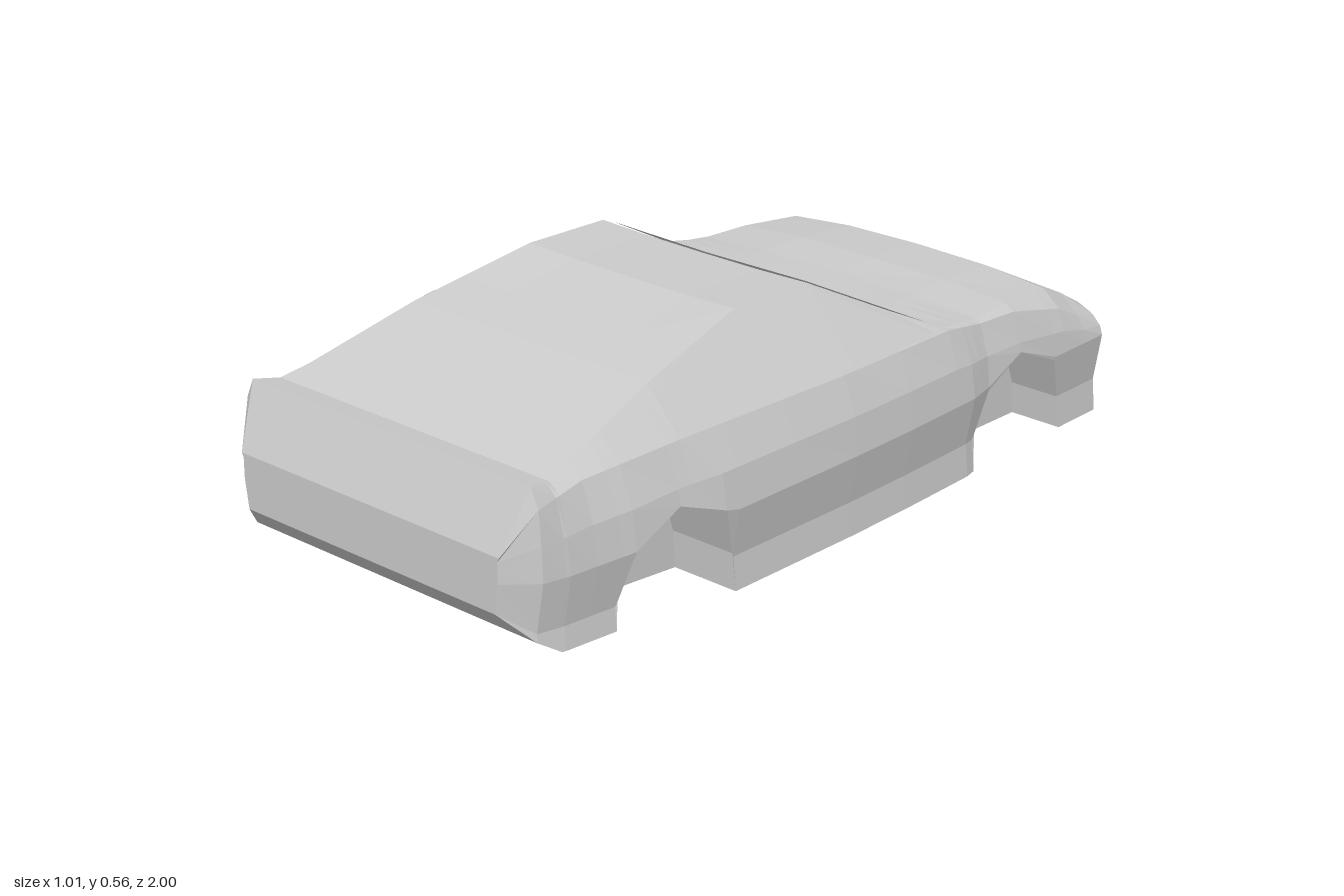
import * as THREE from 'three';

const material = new THREE.MeshStandardMaterial({ color: 0xcccccc, flatShading: true, side: THREE.DoubleSide });

// Body lines: [z, value] keys along the length of the car (nose at -z, tail at +z)
const lines = {
  floor: [[-1, 0], [0.39, 0], [0.73, 0.025], [0.88, 0.025], [0.935, 0.06], [1, 0.13]],
  arch: [[-0.825, 0], [-0.82, 0.08], [-0.78, 0.19], [-0.645, 0.25], [-0.52, 0.19], [-0.48, 0.09], [-0.475, 0],
    [0.385, 0], [0.39, 0.09], [0.43, 0.21], [0.555, 0.255], [0.695, 0.2], [0.73, 0.09], [0.735, 0]],
  width: [[-1, 0.35], [-0.975, 0.46], [-0.82, 0.465], [-0.52, 0.468], [-0.44, 0.488], [-0.2, 0.5], [0, 0.505],
    [0.43, 0.505], [0.555, 0.49], [0.695, 0.493], [0.87, 0.475], [0.935, 0.46], [1, 0.395]],
  beltY: [[-1, 0.2], [-0.975, 0.245], [-0.9, 0.265], [-0.82, 0.305], [-0.645, 0.345], [-0.52, 0.35],
    [-0.38, 0.375], [0.52, 0.385], [0.8, 0.38], [0.935, 0.36], [1, 0.25]],
  beltX: [[-1, 0.345], [-0.975, 0.43], [-0.9, 0.44], [-0.52, 0.435], [-0.38, 0.45], [0, 0.46],
    [0.52, 0.45], [0.8, 0.44], [0.935, 0.45], [1, 0.395]],
  edgeX: [[-1, 0.34], [-0.975, 0.38], [-0.9, 0.385], [-0.52, 0.42], [-0.38, 0.43], [-0.04, 0.315],
    [0.2, 0.315], [0.52, 0.36], [0.8, 0.4], [0.935, 0.43], [1, 0.4]],
  edgeY: [[-1, 0.21], [-0.975, 0.265], [-0.9, 0.31], [-0.82, 0.345], [-0.645, 0.36], [-0.52, 0.36], [-0.38, 0.375],
    [-0.04, 0.55], [0.2, 0.555], [0.52, 0.49], [0.8, 0.41], [0.87, 0.393], [0.935, 0.405], [1, 0.26]],
  crown: [[-1, 0], [-0.975, 0.008], [-0.82, 0.02], [-0.52, 0.012], [-0.38, 0], [-0.04, -0.005], [0.2, -0.005], [0.52, 0]],
};
const lowerSide = [[0, 0.97], [0.08, 0.955], [0.2, 1]];
const mix = THREE.MathUtils.lerp;

// Piecewise linear lookup
function at(keys, v) {
  if (v <= keys[0][0]) return keys[0][1];
  for (let i = 1; i < keys.length; i++) {
    const [a, p] = keys[i - 1], [b, q] = keys[i];
    if (v <= b) return mix(p, q, (v - a) / (b - a));
  }
  return keys[keys.length - 1][1];
}
const line = (name, z) => at(lines[name], z);

// Half cross-section, from the middle of the floor round to the middle of the top
function section(z) {
  const floor = line('floor', z), sill = Math.max(floor, line('arch', z));
  const beltY = line('beltY', z), beltX = line('beltX', z), width = line('width', z);
  const edgeX = line('edgeX', z), edgeY = line('edgeY', z), crown = line('crown', z);
  const sideX = (y) => {
    if (y <= 0.2) return width * at(lowerSide, y);
    const t = (y - 0.2) / (beltY - 0.2);
    return mix(width, beltX, t * t);
  };
  const pts = [[0, floor], [0.31, floor], [0.31, sill]];
  for (const level of [0, 0.08, 0.2, (0.2 + beltY) / 2]) {
    const y = Math.max(sill, level);
    pts.push([sideX(y), y]);
  }
  pts.push([beltX, beltY], [edgeX, edgeY], [edgeX * 0.55, edgeY + crown * 0.8], [0, edgeY + crown]);
  return pts.map(([x, y]) => new THREE.Vector3(x, y, z));
}

// Skin over rows of points on the +x side, repeated mirrored on the -x side
function mirroredSkin(name, rows, capped = false) {
  const pos = [];
  const tri = (a, b, c) => {
    for (const p of [a, b, c]) pos.push(p.x, p.y, p.z);
    for (const p of [a, c, b]) pos.push(-p.x, p.y, p.z);
  };
  for (let i = 0; i + 1 < rows.length; i++) {
    for (let j = 0; j + 1 < rows[i].length; j++) {
      const a = rows[i][j], b = rows[i][j + 1], c = rows[i + 1][j + 1], d = rows[i + 1][j];
      tri(a, b, c);
      tri(a, c, d);
    }
  }
  if (capped) {
    const nose = rows[0], tail = rows[rows.length - 1];
    for (let j = 1; j + 1 < nose.length; j++) {
      tri(nose[0], nose[j + 1], nose[j]);
      tri(tail[0], tail[j], tail[j + 1]);
    }
  }
  const geometry = new THREE.BufferGeometry();
  geometry.setAttribute('position', new THREE.Float32BufferAttribute(pos, 3));
  geometry.computeVertexNormals();
  const mesh = new THREE.Mesh(geometry, material);
  mesh.name = name;
  return mesh;
}

// Panel lying just over the band between belt line and top edge; keys are [z, low, high]
function bandPanel(name, keys) {
  return mirroredSkin(name, keys.map(([z, low, high]) => [low, high].map((t) => new THREE.Vector3(
    mix(line('beltX', z), line('edgeX', z), t) + 0.003,
    mix(line('beltY', z), line('edgeY', z), t) + 0.002, z))));
}

export function createModel() {
  const car = new THREE.Group();
  car.name = 'car';

  // Body shell with wheel wells
  const stations = [...new Set(Object.values(lines).flat().map((k) => k[0]))].sort((a, b) => a - b);
  car.add(mirroredSkin('body', stations.map(section), true));

  // Glass
  car.add(bandPanel('sideWindows', [[-0.33, 0.06, 0.9], [-0.04, 0.04, 0.94], [0.2, 0.04, 0.94],
    [0.485, 0.04, 0.94], [0.525, 0.04, 0.05]]));
  car.add(mirroredSkin('windshield', [-0.365, -0.055].map((z) => [0.94, 0].map((t) => new THREE.Vector3(
    line('edgeX', z) * t, line('edgeY', z) + line('crown', z) * (1 - t) + 0.004, z)))));

  // Headlights on the nose corners
  car.add(bandPanel('headlights', [[-0.97, 0.1, 0.9], [-0.9, 0.1, 0.9]]));

  // Slim grille under the hood lip
  const grille = new THREE.Mesh(new THREE.BoxGeometry(0.32, 0.03, 0.008), material);
  grille.name = 'grille';
  grille.position.set(0, 0.242, -0.986);
  grille.rotation.x = 0.4;
  car.add(grille);
  return car;
}
